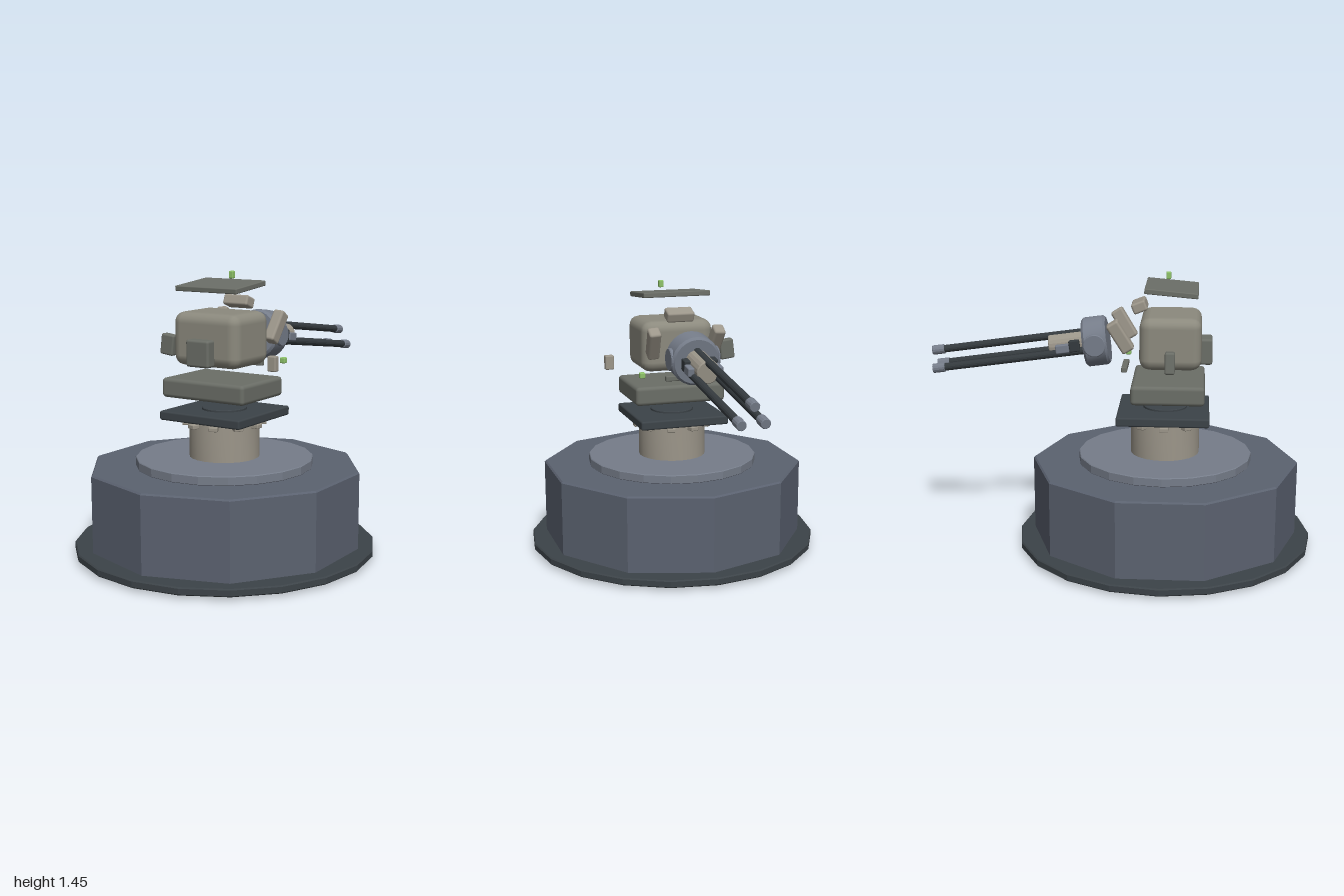
import * as THREE from 'three';
import { toCreasedNormals } from 'three/addons/utils/BufferGeometryUtils.js';
import { RoundedBoxGeometry } from 'three/addons/geometries/RoundedBoxGeometry.js';

const paint = (color) => new THREE.MeshStandardMaterial({ color });
const slate = paint(0x5b6270), steel = paint(0x767d8a), dark = paint(0x3c4348);
const black = paint(0x343a3e), tan = paint(0x9c968a), armour = paint(0x8c8a7e);
const olive = paint(0x6b6e67), green = paint(0x8fc46a);

export function createModel() {
  const model = new THREE.Group();
  model.name = 'turret';

  const add = (parent, name, geometry, material, pos, rot = [0, 0, 0]) => {
    const mesh = new THREE.Mesh(geometry, material);
    mesh.name = name;
    mesh.position.set(...pos);
    mesh.rotation.set(...rot);
    parent.add(mesh);
    return mesh;
  };

  // Box with softened edges
  const box = (parent, name, size, material, pos, rot) =>
    add(parent, name, new RoundedBoxGeometry(...size, 2, Math.min(...size) * 0.2), material, pos, rot);

  // Closed cylinder with a small bevel, centred on its axis
  const disc = (radius, height, sides, bevel) => {
    const h = height / 2;
    const profile = [
      [0, -h], [radius - bevel, -h], [radius, -h + bevel],
      [radius, h - bevel], [radius - bevel, h], [0, h],
    ].map(([x, y]) => new THREE.Vector2(x, y));
    return toCreasedNormals(new THREE.LatheGeometry(profile, sides), 0.3);
  };

  const axisZ = 0.225;

  // Base
  add(model, 'baseSkirt', disc(0.775, 0.04, 20, 0.006), dark, [0, 0.036, axisZ]);
  add(model, 'baseDrum', disc(0.7, 0.455, 10, 0.008), slate, [0, 0.2275, axisZ]);
  add(model, 'baseDisc', disc(0.455, 0.047, 20, 0.004), steel, [0, 0.4775, axisZ]);

  // Pedestal with its ring of bolts
  add(model, 'pedestal', disc(0.18, 0.21, 24, 0.004), tan, [0, 0.6, axisZ]);
  for (let i = 0; i < 10; i++) {
    const a = (i * Math.PI) / 5;
    box(model, 'pedestalBolt', [0.05, 0.022, 0.045], tan,
      [Math.cos(a) * 0.19, 0.675, axisZ + Math.sin(a) * 0.19], [0, -a, 0]);
  }
  box(model, 'turntablePlate', [0.48, 0.047, 0.475], dark, [0, 0.721, 0.218]);
  add(model, 'turntableHub', disc(0.115, 0.02, 24, 0.003), dark, [0, 0.746, axisZ]);

  // Separated body layers
  box(model, 'lowerSlab', [0.49, 0.1, 0.375], olive, [0, 0.86, 0.242]);
  box(model, 'body', [0.39, 0.27, 0.315], armour, [0, 1.11, 0.2525]);
  box(model, 'frontPanel', [0.135, 0.135, 0.065], olive, [0, 1.052, 0.433]);
  box(model, 'roofPlate', [0.365, 0.027, 0.27], olive, [0, 1.371, 0.255], [0.09, 0, 0]);
  box(model, 'topBlock', [0.147, 0.055, 0.075], tan, [0, 1.28, 0.09], [-0.37, 0, 0]);
  box(model, 'lowerBar', [0.2, 0.028, 0.03], olive, [0, 0.96, 0.015]);

  // Loose pieces beside the body
  box(model, 'rightBox', [0.08, 0.108, 0.05], olive, [-0.322, 1.054, 0.255], [0, 0, -0.12]);
  box(model, 'leftBox', [0.048, 0.077, 0.037], tan, [0.33, 1.01, 0.29]);
  box(model, 'upperLamp', [0.025, 0.037, 0.025], green, [0.055, 1.427, 0.235]);
  box(model, 'lowerLamp', [0.03, 0.03, 0.03], green, [0.225, 0.985, 0.018]);

  // Gun cradle arms
  for (const side of [-1, 1]) {
    box(model, 'cradleArm', [0.062, 0.17, 0.068], tan, [side * 0.168, 1.15, 0], [-0.55, 0, side * -0.08]);
  }

  // Gun, tilted slightly down and pointing to the rear
  const gun = new THREE.Group();
  gun.name = 'gun';
  gun.position.set(0, 1.09, -0.135);
  gun.rotation.x = -0.137;
  model.add(gun);

  const along = [Math.PI / 2, 0, 0];
  add(gun, 'gunDrum', disc(0.128, 0.125, 24, 0.012), steel, [0, 0, 0], along);
  add(gun, 'trunnion', disc(0.058, 0.262, 20, 0.004), steel, [0, 0, 0], [0, 0, Math.PI / 2]);
  add(gun, 'barrelSleeve', disc(0.06, 0.19, 20, 0.005), tan, [0, 0.005, -0.15], along);
  for (const side of [-1, 1]) {
    box(gun, 'sleeveClamp', [0.034, 0.06, 0.055], black, [side * 0.072, 0.002, -0.108]);
    box(gun, 'sleeveBlock', [0.034, 0.045, 0.07], steel, [side * 0.075, -0.005, -0.172]);
  }

  // Three barrels with muzzles
  for (const [x, y] of [[0, 0.055], [-0.058, -0.03], [0.058, -0.03]]) {
    add(gun, 'barrel', disc(0.02, 0.78, 14, 0.002), black, [x, y, -0.44], along);
    add(gun, 'muzzle', disc(0.025, 0.064, 14, 0.003), steel, [x, y, -0.83], along);
  }

  return model;
}
